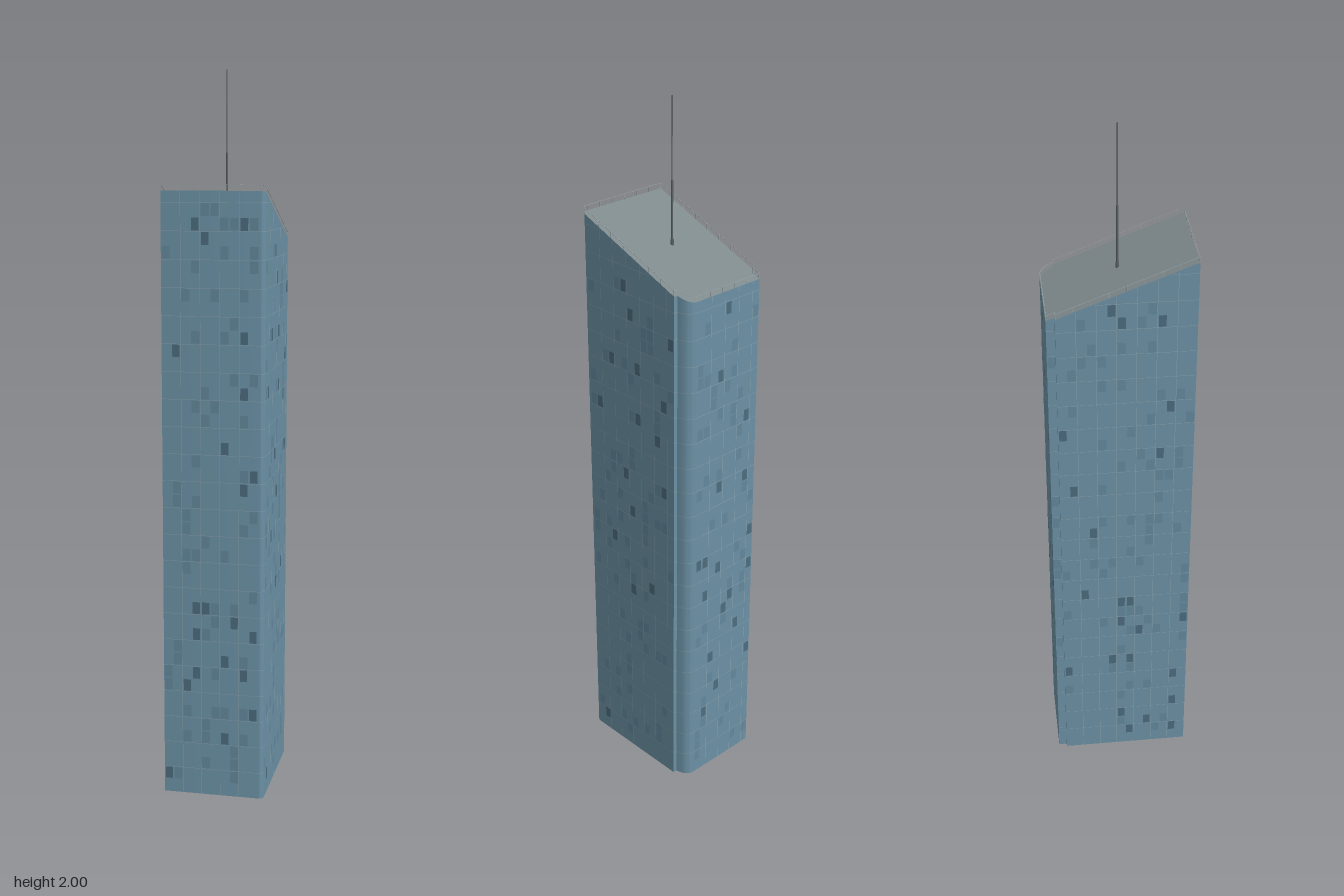
import * as THREE from 'three';
import { mergeGeometries, toCreasedNormals } from 'three/addons/utils/BufferGeometryUtils.js';

const mat = (color) => new THREE.MeshStandardMaterial({ color });
const FLOOR = 0.0375, BAY = 0.0256;

// Sloping roof height at depth v (front is +v)
const roofY = (v) => 1.607 + 0.385 * v;

// Tower plan: x across, y = -depth
function planShape() {
  const s = new THREE.Shape();
  s.moveTo(-0.141, -0.19);
  s.lineTo(0.125, -0.19);
  s.quadraticCurveTo(0.141, -0.19, 0.141, -0.174);
  s.lineTo(0.141, 0.161);
  s.lineTo(0.13, 0.162);
  s.quadraticCurveTo(0.122, 0.2, 0.095, 0.2);
  s.lineTo(-0.131, 0.2);
  s.lineTo(-0.131, 0.177);
  s.lineTo(-0.141, 0.177);
  s.closePath();
  return s;
}

function seeded(seed) {
  return () => (seed = (seed * 16807) % 2147483647) / 2147483647;
}

// Thin square bar between two points
function bar(a, b, size) {
  const g = new THREE.BoxGeometry(size, size, a.distanceTo(b));
  const o = new THREE.Object3D();
  o.position.copy(a).lerp(b, 0.5);
  o.lookAt(b);
  o.updateMatrix();
  return g.applyMatrix4(o.matrix);
}

export function createModel() {
  const model = new THREE.Group();
  model.name = 'skyscraper';
  const tower = new THREE.Group();
  tower.name = 'tower';
  tower.rotation.y = 0.131;
  model.add(tower);
  const add = (name, geometry, material) => {
    const m = new THREE.Mesh(geometry, material);
    m.name = name;
    tower.add(m);
  };

  // Body: extruded plan with its top sheared to the roof slope
  const shape = planShape();
  let body = new THREE.ExtrudeGeometry(shape, { depth: 1, bevelEnabled: false, curveSegments: 8 });
  body.rotateX(-Math.PI / 2);
  const p = body.attributes.position;
  for (let i = 0; i < p.count; i++) {
    p.setY(i, p.getY(i) > 0.5 ? roofY(p.getZ(i)) : 0);
  }
  body = toCreasedNormals(body, 0.5);
  add('towerBody', body, [mat(0x7f8a8d), mat(0x6b91a5)]);

  // Facade: scattered window panels and pale seams on each wall
  const rand = seeded(4711);
  const dark = [], tinted = [], seams = [], rails = [];
  const pts = shape.getPoints(8).map((q) => new THREE.Vector2(q.x, -q.y));
  if (pts[0].distanceTo(pts[pts.length - 1]) < 1e-6) pts.pop();

  pts.forEach((a, k) => {
    const b = pts[(k + 1) % pts.length];
    const len = a.distanceTo(b);
    if (len < 1e-5) return;
    const d = b.clone().sub(a).divideScalar(len);
    const angle = Math.atan2(-d.y, d.x);
    // Flat rectangle on the wall, t along it, lifted slightly outward
    const plate = (list, t0, t1, y0, y1, lift) => {
      const g = new THREE.PlaneGeometry(t1 - t0, y1 - y0);
      const t = (t0 + t1) / 2;
      g.rotateY(angle);
      g.translate(a.x + d.x * t - d.y * lift, (y0 + y1) / 2, a.y + d.y * t + d.x * lift);
      list.push(g);
    };
    const heightAt = (t) => roofY(a.y + d.y * t);

    // Floor seams, cut where the roof slopes below them
    for (let y = FLOOR * 2; y < 1.68; y += FLOOR * 2) {
      let t0 = 0, t1 = len;
      if (Math.abs(d.y) > 0.01) {
        const cut = ((y + 0.002 - 1.607) / 0.385 - a.y) / d.y;
        if (d.y < 0) t1 = Math.min(t1, cut);
        else t0 = Math.max(t0, cut);
      } else if (heightAt(0) < y + 0.002) continue;
      if (t1 - t0 > 0.001) plate(seams, t0, t1, y - 0.0006, y + 0.0006, 0.0006);
    }

    // Vertical seams and window panels
    if (len > 0.02) {
      const cols = Math.max(1, Math.round(len / BAY)), w = len / cols;
      for (let c = 0; c < cols; c++) {
        const t = c * w;
        if (c % 2 === 0 && c > 0) plate(seams, t - 0.0006, t + 0.0006, 0, heightAt(t) - 0.001, 0.0006);
        const top = Math.min(heightAt(t), heightAt(t + w));
        for (let y = FLOOR; y + FLOOR < top; y += FLOOR) {
          const r = rand();
          if (r < 0.045) plate(dark, t + 0.003, t + w - 0.003, y + 0.002, y + FLOOR - 0.002, 0.0004);
          else if (r < 0.17) plate(tinted, t + 0.002, t + w - 0.002, y + 0.002, y + FLOOR - 0.002, 0.0004);
        }
      }
    }

    // Roof-edge railing, set just inside the wall
    const at = (t, up) => new THREE.Vector3((a.x + d.x * t) * 0.993, heightAt(t) + up, (a.y + d.y * t) * 0.993);
    rails.push(bar(at(0, 0.015), at(len, 0.015), 0.0011));
    if (len > 0.02) {
      const n = Math.max(1, Math.round(len / 0.045));
      for (let i = 0; i <= n; i++) {
        const q = at((len * i) / n, 0.0065);
        rails.push(new THREE.BoxGeometry(0.0014, 0.019, 0.0014).translate(q.x, q.y, q.z));
      }
    }
  });

  add('darkWindows', mergeGeometries(dark), mat(0x4c6c7e));
  add('tintedWindows', mergeGeometries(tinted), mat(0x63889c));
  add('facadeSeams', mergeGeometries(seams), mat(0x8ba3ae));
  add('roofRailing', mergeGeometries(rails), mat(0x9aa3a6));

  // Mast: stout lower tube and slim tip on a small foot
  const steel = mat(0x5a6266);
  const mast = [[0.005, 1.6, 1.62], [0.0028, 1.6, 1.78], [0.0014, 1.78, 2.0]];
  ['mastFoot', 'mastLower', 'mastTip'].forEach((name, i) => {
    const [r, y0, y1] = mast[i];
    add(name, new THREE.CylinderGeometry(r, r, y1 - y0, 10).translate(-0.002, (y0 + y1) / 2, -0.003), steel);
  });
  return model;
}
